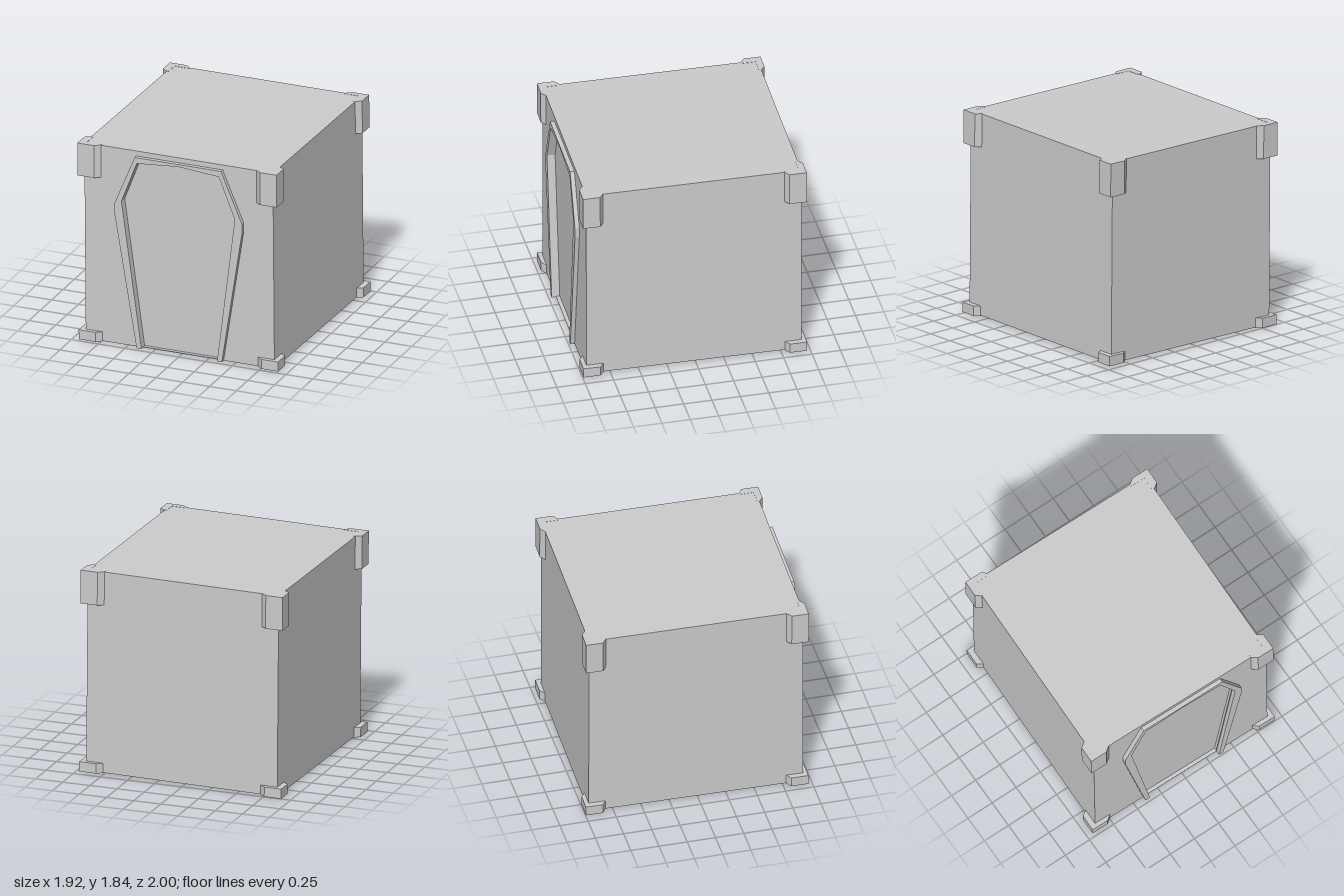
import * as THREE from 'three';

const MID = 0.92;                 // height of the pivot
const W = 0.885, D = 0.945;       // half width and half depth of the shell
const LOW = 0.012, HIGH = 1.828;

const material = new THREE.MeshStandardMaterial({
  color: 0xcccccc, flatShading: true, side: THREE.DoubleSide,
});

const toVectors = (points) => points.map(([x, y]) => new THREE.Vector2(x, y));

export function createModel() {
  const model = new THREE.Group();
  model.name = 'crate';
  const body = new THREE.Group();
  body.name = 'tiltedBody';
  body.position.y = MID;
  body.rotation.set(0, -0.017, 0.008);
  model.add(body);

  const add = (name, geometry, x = 0, y = 0, z = 0) => {
    const mesh = new THREE.Mesh(geometry, material);
    mesh.name = name;
    mesh.position.set(x, y - MID, z);
    body.add(mesh);
    return mesh;
  };

  // Coffin-shaped outlines, open at the bottom, listed from right foot to left foot
  const mirror = (half, peak = []) =>
    [...half, ...peak, ...half.map(([x, y]) => [-x, y]).reverse()];
  const outer = mirror([[0.40, LOW], [0.598, 1.235], [0.598, 1.325], [0.405, 1.782]]);
  const inner = mirror([[0.355, LOW], [0.532, 1.355], [0.385, 1.728]], [[0, 1.76]]);

  // Thin shell, open underneath
  const height = HIGH - LOW, middle = (HIGH + LOW) / 2;
  add('backWall', new THREE.PlaneGeometry(2 * W, height), 0, middle, -D).rotation.y = Math.PI;
  for (const s of [1, -1]) {
    const wall = add('sideWall', new THREE.PlaneGeometry(2 * D, height), s * W, middle, 0);
    wall.rotation.y = s * Math.PI / 2;
  }
  add('roof', new THREE.PlaneGeometry(2 * W, 2 * D), 0, HIGH, 0).rotation.x = -Math.PI / 2;

  // Front wall cut out around the door
  const front = new THREE.Shape(toVectors([
    [W, LOW], [W, HIGH], [-W, HIGH], [-W, LOW], ...[...inner].reverse(),
  ]));
  add('frontWall', new THREE.ShapeGeometry(front), 0, 0, D);

  // Raised door frame, recessed door and sill
  const frame = new THREE.Shape(toVectors([...outer, ...[...inner].reverse()]));
  add('doorFrame', new THREE.ExtrudeGeometry(frame, { depth: 0.073, bevelEnabled: false }),
    0.008, 0, D - 0.035);
  add('door', new THREE.ShapeGeometry(new THREE.Shape(toVectors(inner))), 0.008, 0, D - 0.033);
  add('doorSill', new THREE.BoxGeometry(0.71, 0.006, 0.034), 0.008, LOW + 0.003, D - 0.017);

  // L-shaped corner guards with chamfered ends, tall at the top and short at the foot
  const X = 0.935, Z = 0.982;
  const corner = toVectors([
    [X, Z], [X - 0.155, Z], [X - 0.205, D], [X - 0.205, D - 0.02], [W - 0.02, D - 0.02],
    [W - 0.02, Z - 0.185], [W, Z - 0.185], [X, Z - 0.15],
  ]);
  const guard = (sx, sz, bottom, top) => {
    // the shape lies in x and -z, so that extrusion runs upward
    const points = corner.map((p) => new THREE.Vector2(sx * p.x, -sz * p.y));
    const geometry = new THREE.ExtrudeGeometry(new THREE.Shape(points),
      { depth: top - bottom, bevelEnabled: false });
    geometry.rotateX(-Math.PI / 2);
    return geometry;
  };
  for (const sx of [1, -1]) {
    for (const sz of [1, -1]) {
      add('topCornerGuard', guard(sx, sz, 1.53, HIGH + 0.002), 0, 1.53, 0);
      add('cornerFoot', guard(sx, sz, 0.008, 0.096), 0, 0.008, 0);
    }
  }
  return model;
}
